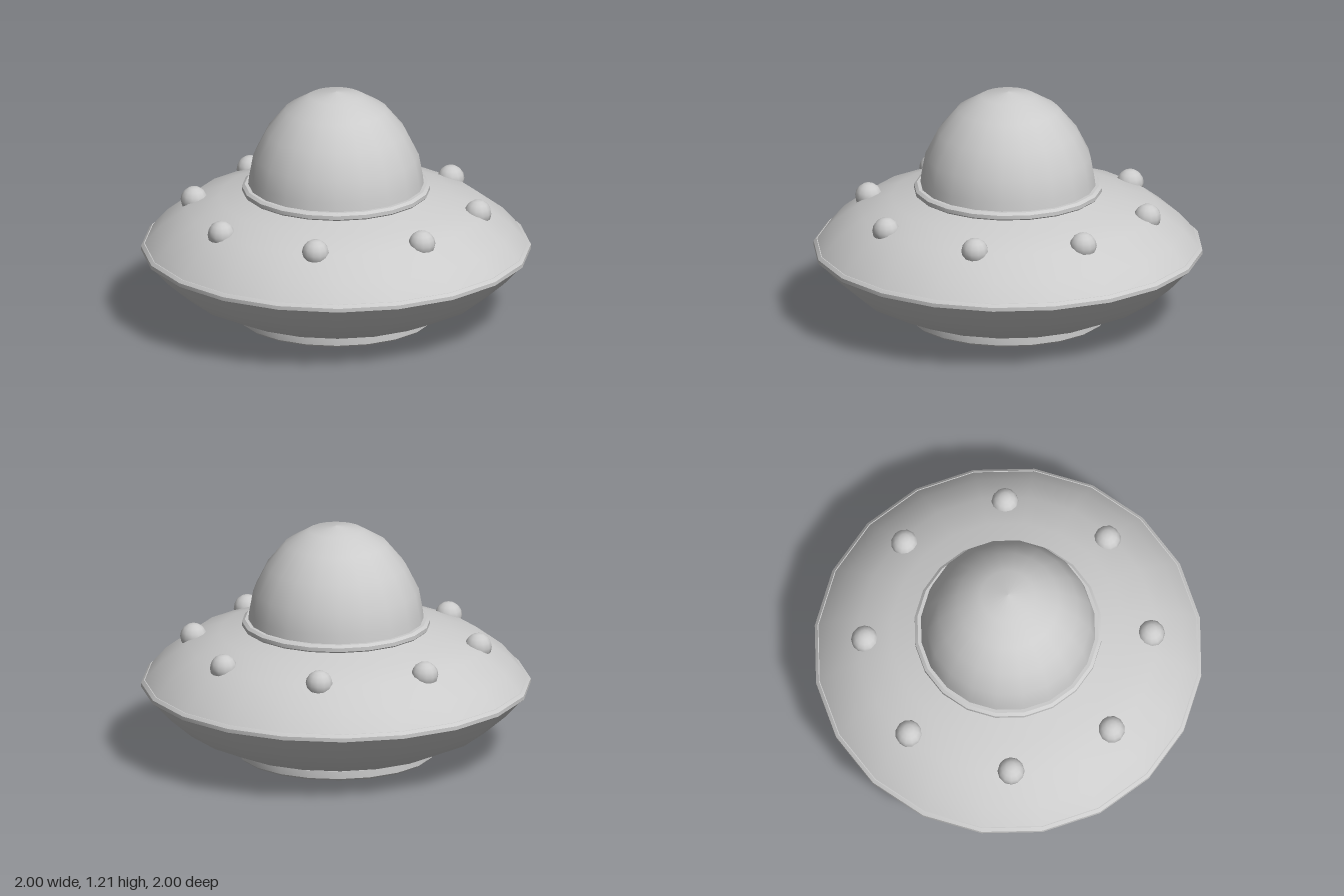
import * as THREE from 'three';
import { toCreasedNormals } from 'three/addons/utils/BufferGeometryUtils.js';

const SIDES = 20;
const material = new THREE.MeshStandardMaterial({ color: 0xcccccc });

export function createModel() {
  const model = new THREE.Group();
  model.name = 'flyingSaucer';

  // Turned part: profile of [radius, height] pairs, running upward on the outside
  const turned = (name, profile, crease) => {
    let geometry = new THREE.LatheGeometry(profile.map(([r, y]) => new THREE.Vector2(r, y)), SIDES);
    if (crease) geometry = toCreasedNormals(geometry, crease);
    const mesh = new THREE.Mesh(geometry, material);
    mesh.name = name;
    model.add(mesh);
  };

  // Landing ring with the recessed hatch inside it
  turned('baseRing', [
    [0, 0.08], [0.375, 0.08], [0.375, 0.008], [0.383, 0], [0.5, 0],
    [0.51, 0.01], [0.51, 0.05], [0.48, 0.05],
  ], 0.6);

  // Hull halves
  turned('lowerHull', [[0.48, 0.045], [0.61, 0.083], [0.79, 0.165], [0.9, 0.26], [0.985, 0.352]]);
  turned('upperHull', [[0.985, 0.39], [0.905, 0.482], [0.765, 0.587], [0.6, 0.645], [0.43, 0.688]]);

  // Rim around the widest part
  turned('rim', [
    [0.95, 0.352], [0.99, 0.352], [1, 0.36], [1, 0.38], [0.985, 0.395], [0.95, 0.395],
  ], 0.6);

  // Collar under the dome
  turned('collar', [
    [0.43, 0.675], [0.475, 0.675], [0.483, 0.683], [0.483, 0.703], [0.468, 0.715], [0.42, 0.715],
  ], 0.6);

  // Dome
  turned('dome', [
    [0.452, 0.7], [0.445, 0.76], [0.425, 0.87], [0.36, 1.0],
    [0.262, 1.118], [0.14, 1.19], [0, 1.213],
  ]);

  // Eight lamps around the upper hull
  const lampGeometry = new THREE.SphereGeometry(0.07, 12, 8);
  for (let i = 0; i < 8; i++) {
    const angle = (i * Math.PI) / 4;
    const lamp = new THREE.Mesh(lampGeometry, material);
    lamp.name = `lamp${i + 1}`;
    lamp.position.set(0.735 * Math.sin(angle), 0.591, 0.735 * Math.cos(angle));
    lamp.rotation.y = angle;
    model.add(lamp);
  }

  return model;
}
